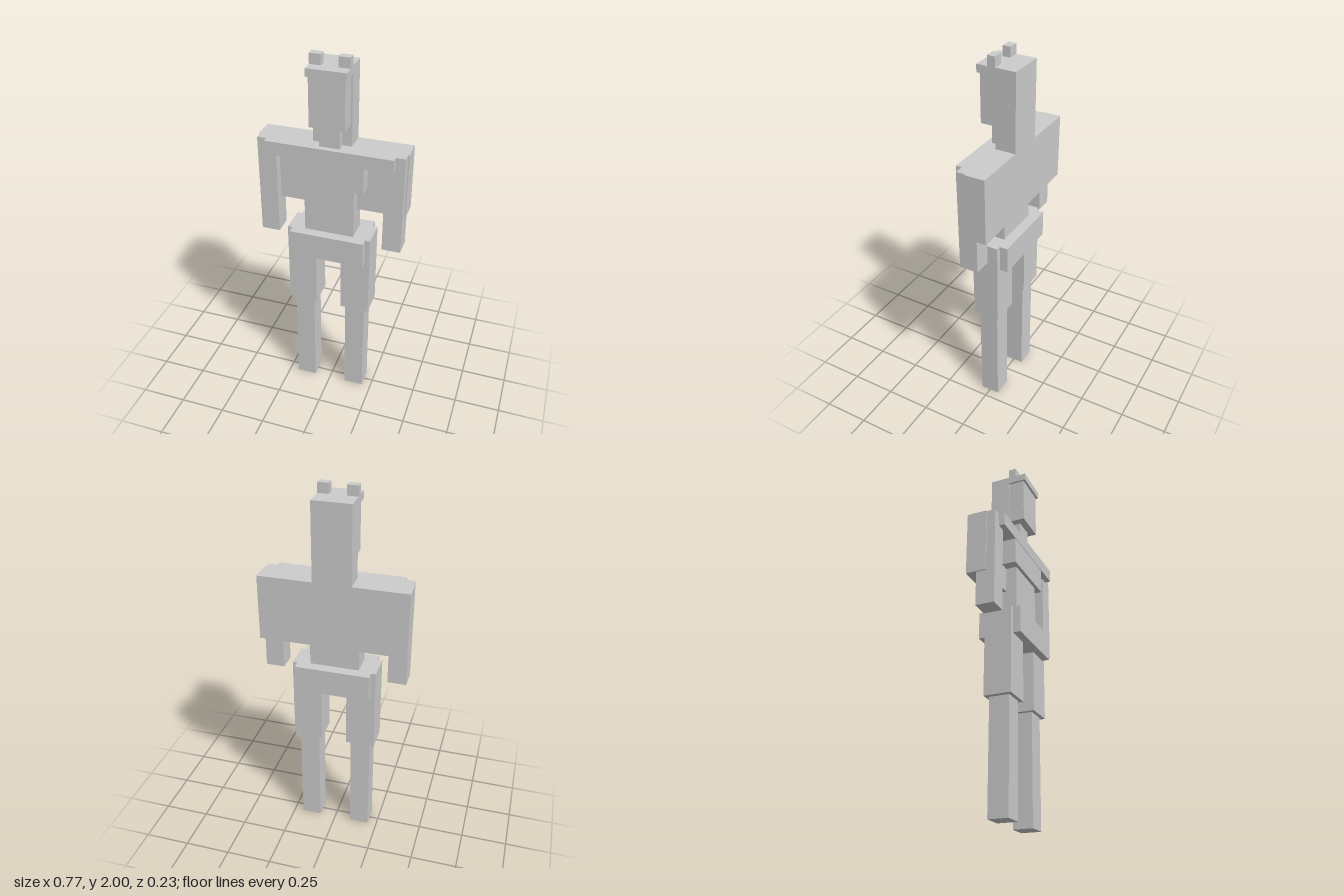
import * as THREE from 'three';

const material = new THREE.MeshStandardMaterial({ color: 0xcccccc, flatShading: true });

// Box given by its extents along each axis
function block(parent, name, [x0, x1], [y0, y1], [z0, z1]) {
  const mesh = new THREE.Mesh(new THREE.BoxGeometry(x1 - x0, y1 - y0, z1 - z0), material);
  mesh.position.set((x0 + x1) / 2, (y0 + y1) / 2, (z0 + z1) / 2);
  mesh.name = name;
  parent.add(mesh);
}

// Matching blocks on the left (+x) and right (-x)
function pair(parent, name, [x0, x1], y, z) {
  block(parent, 'left' + name, [x0, x1], y, z);
  block(parent, 'right' + name, [-x1, -x0], y, z);
}

export function createModel() {
  const model = new THREE.Group();
  model.name = 'blockFigure';

  // Head, with long hair falling behind to the shoulders
  const head = new THREE.Group();
  head.name = 'head';
  block(head, 'face', [-0.09, 0.09], [1.653, 1.908], [0, 0.09]);
  block(head, 'neck', [-0.052, 0.052], [1.54, 1.653], [-0.05, 0.052]);
  block(head, 'headband', [-0.1, 0.1], [1.908, 1.948], [0, 0.102]);
  block(head, 'hair', [-0.1, 0.1], [1.54, 1.948], [-0.104, 0.004]);
  pair(head, 'Ear', [0.043, 0.1], [1.948, 2], [0.004, 0.045]);
  model.add(head);

  // Torso, with a cape across the back
  const torso = new THREE.Group();
  torso.name = 'torso';
  block(torso, 'shoulders', [-0.331, 0.331], [1.47, 1.54], [-0.08, 0.082]);
  block(torso, 'chest', [-0.184, 0.184], [1.327, 1.47], [-0.08, 0.08]);
  block(torso, 'waist', [-0.131, 0.131], [1.05, 1.327], [-0.06, 0.062]);
  block(torso, 'cape', [-0.387, 0.387], [1.19, 1.54], [-0.104, 0.004]);
  block(torso, 'pelvis', [-0.199, 0.199], [0.91, 1.053], [-0.116, 0.114]);
  model.add(torso);

  // Limbs
  const limbs = new THREE.Group();
  limbs.name = 'limbs';
  pair(limbs, 'Arm', [0.282, 0.38], [1.002, 1.54], [-0.05, 0.051]);
  pair(limbs, 'Thigh', [0.069, 0.225], [0.587, 1.053], [-0.072, 0.073]);
  pair(limbs, 'Shin', [0.091, 0.199], [0, 0.587], [-0.053, 0.053]);
  model.add(limbs);

  return model;
}
